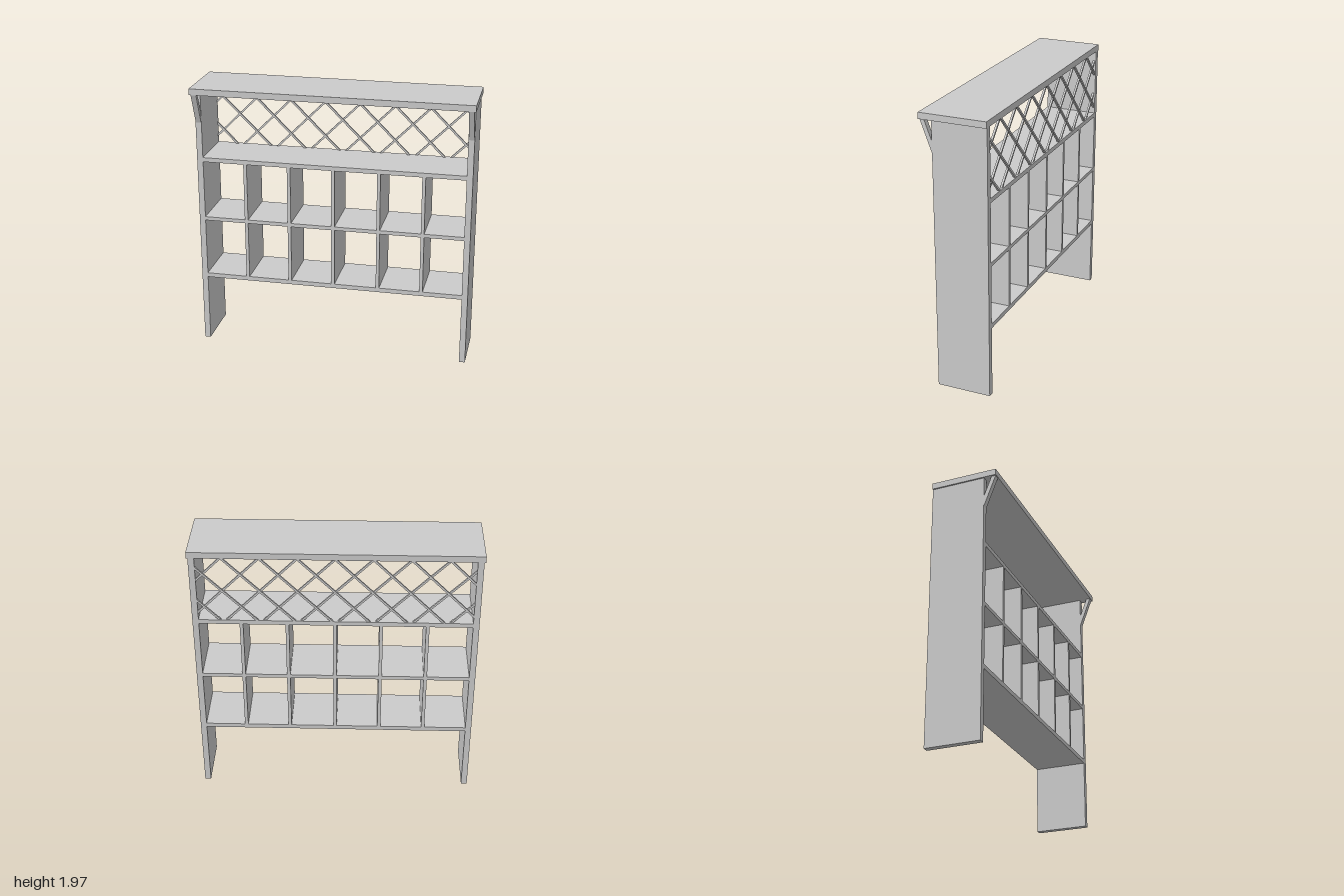
import * as THREE from 'three';

const material = new THREE.MeshStandardMaterial({ color: 0xcccccc, flatShading: true });

// Box given by its limits on each axis
function board(name, x0, x1, y0, y1, z0, z1) {
  const mesh = new THREE.Mesh(new THREE.BoxGeometry(x1 - x0, y1 - y0, z1 - z0), material);
  mesh.position.set((x0 + x1) / 2, (y0 + y1) / 2, (z0 + z1) / 2);
  mesh.name = name;
  return mesh;
}

// Diagonal slats, clipped to the opening with their ends let into the frame
function createLattice() {
  const lattice = new THREE.Group();
  lattice.name = 'lattice';
  const pitch = 0.257, top = 1.927, yMin = 1.43, yMax = 1.935, xMax = 0.955;
  for (const dir of [-1, 1]) {
    for (let i = -6; i <= 6; i++) {
      // Slat centre line: x = c + dir * (top - y)
      const c = i * pitch;
      const atLeft = top - (-xMax - c) * dir, atRight = top - (xMax - c) * dir;
      const y0 = Math.max(yMin, Math.min(atLeft, atRight));
      const y1 = Math.min(yMax, Math.max(atLeft, atRight));
      if (y1 - y0 < 0.02) continue;
      const slat = new THREE.Mesh(
        new THREE.BoxGeometry(0.014, (y1 - y0) * Math.SQRT2, 0.014), material);
      const y = (y0 + y1) / 2;
      slat.position.set(c + dir * (top - y), y, -0.227 + dir * 0.003);
      slat.rotation.z = dir * Math.PI / 4;
      slat.name = 'latticeSlat';
      lattice.add(slat);
    }
  }
  return lattice;
}

// Slanted strut between a side panel and the overhanging top
function createBracket(x0, x1) {
  const shape = new THREE.Shape([
    new THREE.Vector2(0.15, 1.70), new THREE.Vector2(0.235, 1.925),
    new THREE.Vector2(0.204, 1.925), new THREE.Vector2(0.15, 1.782),
  ]);
  const geometry = new THREE.ExtrudeGeometry(shape, { depth: x1 - x0, bevelEnabled: false });
  geometry.rotateY(-Math.PI / 2); // profile x becomes z, depth runs towards -x
  geometry.translate(x1, 0, 0);
  const mesh = new THREE.Mesh(geometry, material);
  mesh.name = 'bracket';
  return mesh;
}

export function createModel() {
  const model = new THREE.Group();
  model.name = 'shelfUnit';
  const back = -0.24, front = 0.15, inner = 0.947, outer = 0.99;

  // Frame
  model.add(board('top', -1, 1, 1.925, 1.97, back, 0.24));
  model.add(board('leftSide', inner, outer, 0, 1.925, back, front));
  model.add(board('rightSide', -outer, -inner, 0, 1.925, back, front));
  model.add(createBracket(inner + 0.002, outer - 0.002));
  model.add(createBracket(-outer + 0.002, -inner - 0.002));

  // Shelves
  const shelves = [[0.503, 0.535], [0.958, 0.985], [1.408, 1.44]];
  for (const [y0, y1] of shelves) model.add(board('shelf', -inner, inner, y0, y1, back, front));

  // Upright dividers of both rows
  for (let row = 0; row < 2; row++) {
    for (const x of [-0.636, -0.316, 0.005, 0.334, 0.652]) {
      model.add(board('divider', x - 0.012, x + 0.012, shelves[row][1], shelves[row + 1][0], back, front));
    }
  }

  model.add(createLattice());
  return model;
}
